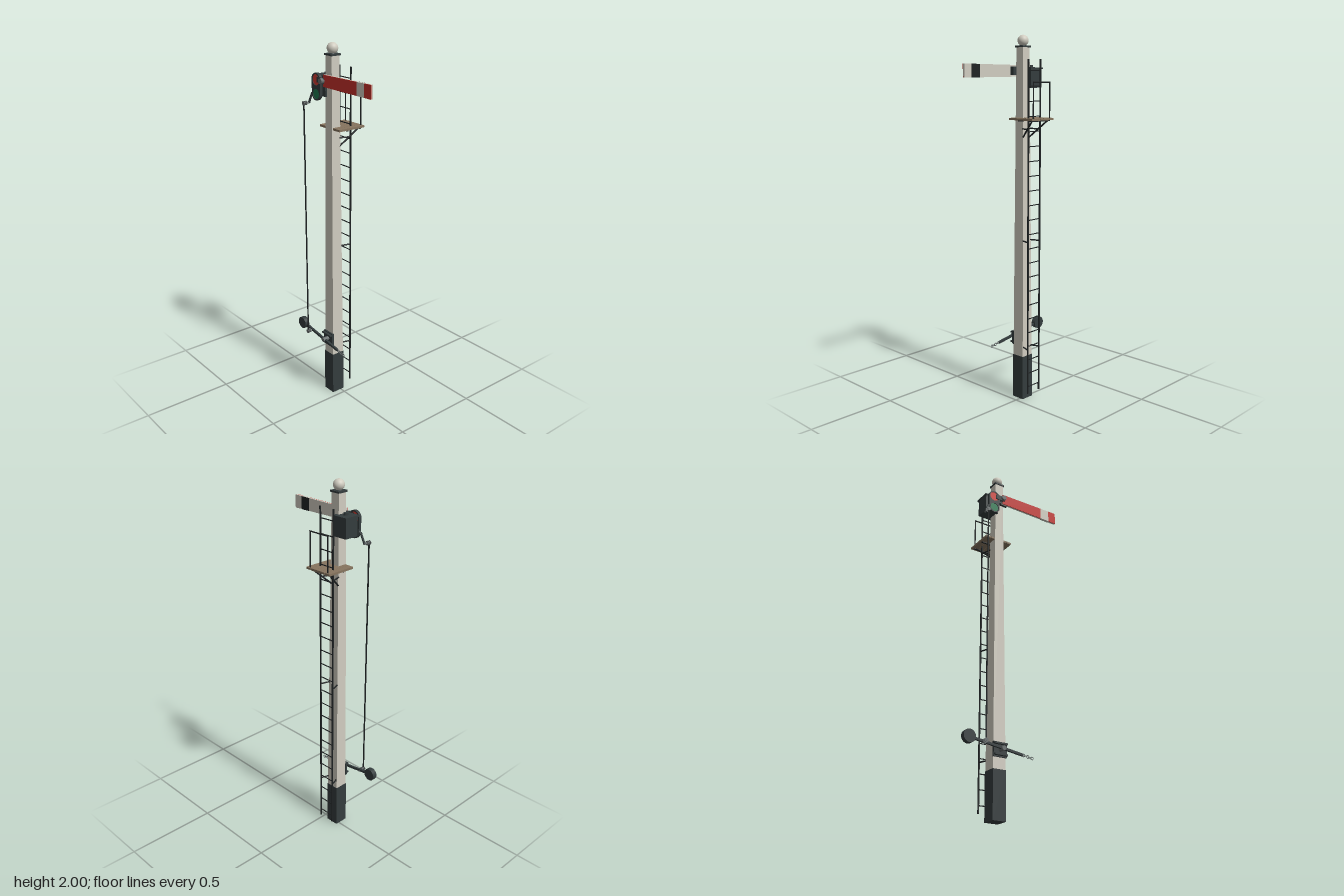
import * as THREE from 'three';

const mat = (name, color, extra = {}) => Object.assign(new THREE.MeshStandardMaterial({ color, ...extra }), { name });

export function createModel() {
  const M = {
    white: mat('off-white paint', 0xd0ccc0),
    dark: mat('dark iron', 0x343c3d),
    black: mat('black iron', 0x1f2324),
    red: mat('red paint', 0xc5302a),
    redGlass: mat('red glass', 0xd23a30, { side: THREE.DoubleSide }),
    greenGlass: mat('green glass', 0x1f7a50, { side: THREE.DoubleSide }),
    wood: mat('weathered wood', 0x87755f),
    steel: mat('grey steel', 0x6a7070),
  };
  const model = new THREE.Group();
  model.name = 'railwaySignal';
  const PX = -0.071, PZ = 0.018; // post axis

  const add = (name, geo, material, x = 0, y = 0, z = 0) => {
    const mesh = new THREE.Mesh(geo, material);
    mesh.name = name;
    mesh.position.set(x, y, z);
    model.add(mesh);
    return mesh;
  };
  const box = (name, m, x0, x1, y0, y1, z0, z1) =>
    add(name, new THREE.BoxGeometry(x1 - x0, y1 - y0, z1 - z0), m, (x0 + x1) / 2, (y0 + y1) / 2, (z0 + z1) / 2);
  // round bar between two points
  const bar = (name, m, a, b, r, sides = 8) => {
    const p = new THREE.Vector3(...a), q = new THREE.Vector3(...b), d = q.clone().sub(p);
    const mesh = add(name, new THREE.CylinderGeometry(r, r, d.length(), sides), m);
    mesh.position.copy(p).add(q).multiplyScalar(0.5);
    mesh.quaternion.setFromUnitVectors(new THREE.Vector3(0, 1, 0), d.normalize());
    return mesh;
  };
  // cylinder along z
  const pin = (name, m, x, y, z0, z1, r, sides = 24) => bar(name, m, [x, y, z0], [x, y, z1], r, sides);
  // square tapered column given by half widths
  const column = (name, m, top, bottom, y0, y1) => {
    const g = new THREE.CylinderGeometry(top * Math.SQRT2, bottom * Math.SQRT2, y1 - y0, 4).rotateY(Math.PI / 4).toNonIndexed();
    g.computeVertexNormals();
    return add(name, g, m, PX, (y0 + y1) / 2, PZ);
  };

  // Post, base, cap and finial
  column('postBase', M.dark, 0.038, 0.038, 0, 0.25);
  column('post', M.white, 0.0245, 0.036, 0.25, 1.938);
  column('postCap', M.dark, 0.03, 0.03, 1.936, 1.945);
  add('finialNeck', new THREE.CylinderGeometry(0.014, 0.02, 0.012, 24), M.dark, PX, 1.949, PZ);
  add('finialBall', new THREE.SphereGeometry(0.029, 32, 20), M.white, PX, 1.971, PZ);

  // Signal arm, slightly wider at the tip, with thin painted faces
  const armPart = (name, m, x0, x1, z0, z1) => {
    const h = (x) => 0.0305 + 0.004 * (x + 0.07) / 0.365;
    const s = new THREE.Shape([[x0, -h(x0)], [x1, -h(x1)], [x1, h(x1)], [x0, h(x0)]].map((p) => new THREE.Vector2(...p)));
    add(name, new THREE.ExtrudeGeometry(s, { depth: z1 - z0, bevelEnabled: false }), m, 0, 1.816, z0);
  };
  armPart('armBlade', M.white, -0.07, 0.296, 0.068, 0.078);
  armPart('armRedInner', M.red, -0.07, 0.193, 0.078, 0.081);
  armPart('armWhiteStripe', M.white, 0.193, 0.248, 0.078, 0.081);
  armPart('armRedTip', M.red, 0.248, 0.296, 0.078, 0.081);
  armPart('armBackStripe', M.black, 0.193, 0.248, 0.0665, 0.068);

  // Arm bearing on the post
  box('armBearing', M.dark, PX - 0.022, PX + 0.045, 1.795, 1.837, 0.042, 0.066);
  pin('armPivot', M.steel, PX, 1.816, 0.05, 0.1, 0.014);
  box('armStrap', M.dark, -0.115, -0.06, 1.802, 1.83, 0.079, 0.086);

  // Spectacle frame with two lenses
  const LX = -0.127, lensRows = [[1.813, 0.028, M.redGlass, 'redLens'], [1.741, 0.026, M.greenGlass, 'greenLens']];
  const frame = new THREE.Shape();
  frame.absarc(LX, 1.813, 0.035, 0, Math.PI, false);
  frame.absarc(LX, 1.741, 0.033, Math.PI, Math.PI * 2, false);
  for (const [y, r] of lensRows) frame.holes.push(new THREE.Path().absarc(LX, y, r, 0, Math.PI * 2, true));
  add('spectacleFrame', new THREE.ExtrudeGeometry(frame, { depth: 0.016, bevelEnabled: false, curveSegments: 24 }), M.dark, 0, 0, 0.067);
  for (const [y, r, m, name] of lensRows) add(name, new THREE.CircleGeometry(r, 32), m, LX, y, 0.08);

  // Lamp behind the spectacle
  box('lampBody', M.dark, -0.165, -0.086, 1.728, 1.826, -0.027, 0.054);
  box('lampRoof', M.dark, -0.171, -0.079, 1.826, 1.834, -0.033, 0.06);
  add('lampChimney', new THREE.CylinderGeometry(0.0125, 0.0125, 0.012, 20), M.dark, -0.125, 1.84, 0.013);
  pin('lampLensRing', M.black, LX, 1.8, 0.05, 0.064, 0.024);

  // Crank, pull rod and collared end joints
  const RX = -0.186, RZ = 0.116;
  bar('crank', M.dark, [-0.152, 1.75, 0.075], [-0.168, 1.735, 0.077], 0.007);
  bar('crankArm', M.dark, [-0.165, 1.742, 0.077], [RX, 1.688, 0.083], 0.006);
  bar('pullRod', M.black, [RX, 0.362, RZ], [RX, 1.688, RZ], 0.004);
  for (const y of [1.688, 0.362]) {
    pin('jointPin', M.steel, RX, y, 0.078, 0.122, 0.005, 12);
    for (const z of [0.102, 0.11, 0.119]) pin('jointCollar', M.steel, RX, y, z - 0.0018, z + 0.0018, 0.011);
  }

  // Balance lever, weight and bracket
  const leverY = (x) => 0.376 - 0.145 * (x + 0.267);
  pin('balanceWeight', M.dark, -0.267, 0.376, 0.074, 0.1, 0.034, 32);
  const lever = box('balanceLever', M.dark, -0.158, 0.158, -0.006, 0.006, 0.081, 0.093);
  lever.position.set(-0.11, leverY(-0.11), 0.087);
  lever.rotation.z = -0.144;
  box('leverBackplate', M.dark, PX - 0.038, PX + 0.038, 0.31, 0.386, 0.05, 0.062);
  for (const y of [0.316, 0.372]) box('leverBracketRib', M.dark, PX - 0.036, PX + 0.036, y, y + 0.009, 0.06, 0.076);
  pin('leverPivot', M.steel, PX, leverY(PX), 0.055, 0.099, 0.012);

  // Chain at the lever end
  for (let i = 0; i < 5; i++) {
    const x = 0.05 + i * 0.0125;
    const link = add('chainLink', new THREE.TorusGeometry(0.0075, 0.0018, 6, 14), M.steel, x, leverY(x), 0.087);
    link.rotation.set(i % 2 ? Math.PI / 2 : 0, 0, 0);
  }

  // Ladder with rungs and stays
  const LZ = -0.064, rails = [-0.117, -0.027];
  for (const x of rails) bar('ladderRail', M.black, [x, 0.05, LZ], [x, 1.875, LZ], 0.0048);
  for (let i = 0; i < 23; i++) {
    const y = 0.09 + i * 0.0785;
    bar('ladderRung', M.black, [rails[0], y, LZ], [rails[1], y, LZ], 0.0028, 6);
  }
  for (const y of [0.305, 0.91, 1.515])
    rails.forEach((x, i) => bar('ladderStay', M.black, [PX + (i ? 0.026 : -0.026), y, -0.005], [x, y, LZ], 0.004));

  // Platform boards, bearers, braces and hand rail
  for (let i = 0; i < 5; i++) {
    const x = -0.153 + i * 0.033;
    box('platformBoard', M.wood, x, x + 0.031, 1.562, 1.573, -0.125, 0.04);
  }
  for (const z of [-0.105, -0.02]) box('platformBearer', M.black, -0.145, 0.003, 1.556, 1.562, z - 0.004, z + 0.004);
  for (const s of [-1, 1]) {
    bar('platformBrace', M.black, [PX + s * 0.024, 1.47, -0.006], [PX + s * 0.06, 1.56, -0.105], 0.0045);
    bar('handrailPost', M.black, [PX + s * 0.062, 1.565, -0.116], [PX + s * 0.062, 1.757, -0.116], 0.0036);
  }
  bar('handrail', M.black, [PX - 0.064, 1.757, -0.116], [PX + 0.064, 1.757, -0.116], 0.0036);

  return model;
}
